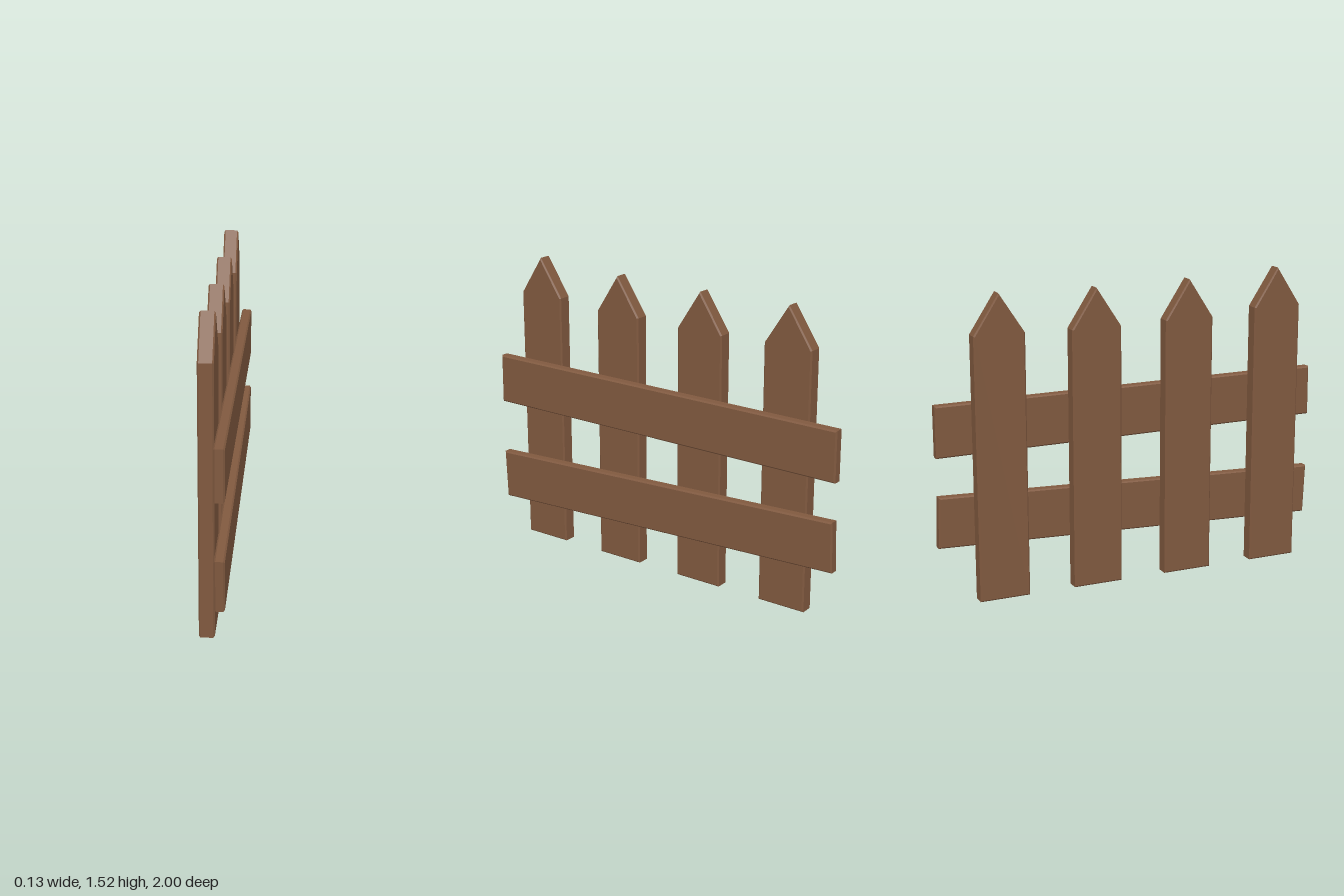
import * as THREE from 'three';

const BEVEL = 0.007;

// Board with chamfered edges: outline given as [-z, y] points, spanning x0..x1
function board(name, outline, x0, x1, material) {
  const shape = new THREE.Shape(outline.map(([u, y]) => new THREE.Vector2(u, y)));
  const geometry = new THREE.ExtrudeGeometry(shape, {
    depth: x1 - x0 - 2 * BEVEL,
    bevelEnabled: true,
    bevelThickness: BEVEL,
    bevelSize: BEVEL,
    bevelOffset: -BEVEL,
    bevelSegments: 1,
  });
  geometry.translate(0, 0, x0 + BEVEL);
  geometry.rotateY(Math.PI / 2);
  const mesh = new THREE.Mesh(geometry, material);
  mesh.name = name;
  return mesh;
}

export function createModel() {
  const group = new THREE.Group();
  group.name = 'picketFence';
  const wood = new THREE.MeshStandardMaterial({ color: 0x80593f, flatShading: true });

  // Upright pickets with pointed tops: [z centre, height]
  const pickets = [[0.76, 1.517], [0.274, 1.49], [-0.213, 1.482], [-0.699, 1.49]];
  const half = 0.126;
  pickets.forEach(([z, height], i) => {
    const u = -z;
    const shoulder = height - 0.193;
    group.add(board(`picket${i + 1}`, [
      [u - half, 0], [u + half, 0], [u + half, shoulder], [u, height], [u - half, shoulder],
    ], -0.065, 0.008, wood));
  });

  // Two slightly crooked cross rails
  group.add(board('upperRail', [
    [-1, 0.728], [0.998, 0.716], [0.998, 0.968], [-0.998, 0.98],
  ], 0.011, 0.062, wood));
  group.add(board('lowerRail', [
    [-0.99, 0.195], [1, 0.271], [0.992, 0.523], [-1, 0.447],
  ], 0.013, 0.062, wood));

  return group;
}
